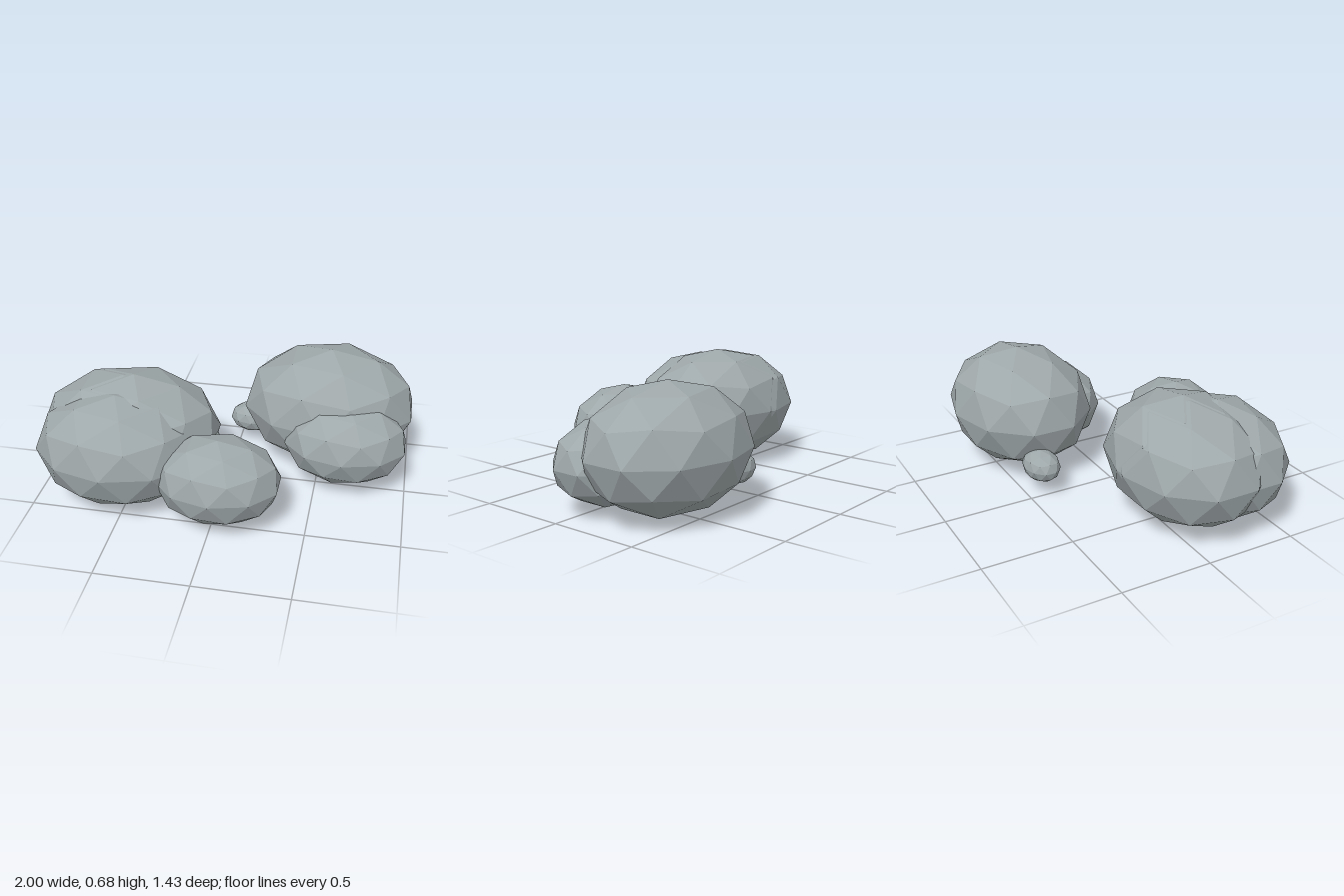
import * as THREE from 'three';

export function createModel() {
  const group = new THREE.Group();
  group.name = 'rockCluster';
  const stone = new THREE.MeshStandardMaterial({ color: 0x9ea7a9, flatShading: true });
  stone.name = 'stone grey';

  // 80-sided boulder with one corner pointing straight up
  const boulder = new THREE.IcosahedronGeometry(1, 1);
  boulder.rotateZ(-Math.atan(2 / (1 + Math.sqrt(5))));

  // name, centre, radii
  const rocks = [
    ['largeRightRock', [0.53, 0.345, -0.32], [0.495, 0.342, 0.395]],
    ['smallRightRock', [0.65, 0.262, -0.055], [0.347, 0.233, 0.27]],
    ['largeLeftRock', [-0.49, 0.341, 0.15], [0.473, 0.334, 0.39]],
    ['largeLeftRockTwin', [-0.55, 0.337, 0.15], [0.473, 0.329, 0.39]],
    ['frontLeftRock', [-0.548, 0.322, 0.325], [0.45, 0.314, 0.355]],
    ['frontMiddleRock', [0.025, 0.264, 0.445], [0.342, 0.235, 0.267]],
    ['buriedRock', [-0.25, 0.235, 0.215], [0.294, 0.205, 0.24]],
    ['backPebble', [0.075, 0.155, -0.4], [0.137, 0.088, 0.1]],
  ];

  for (const [name, centre, radii] of rocks) {
    const rock = new THREE.Mesh(boulder, stone);
    rock.name = name;
    rock.position.set(...centre);
    rock.scale.set(...radii);
    group.add(rock);
  }
  return group;
}
